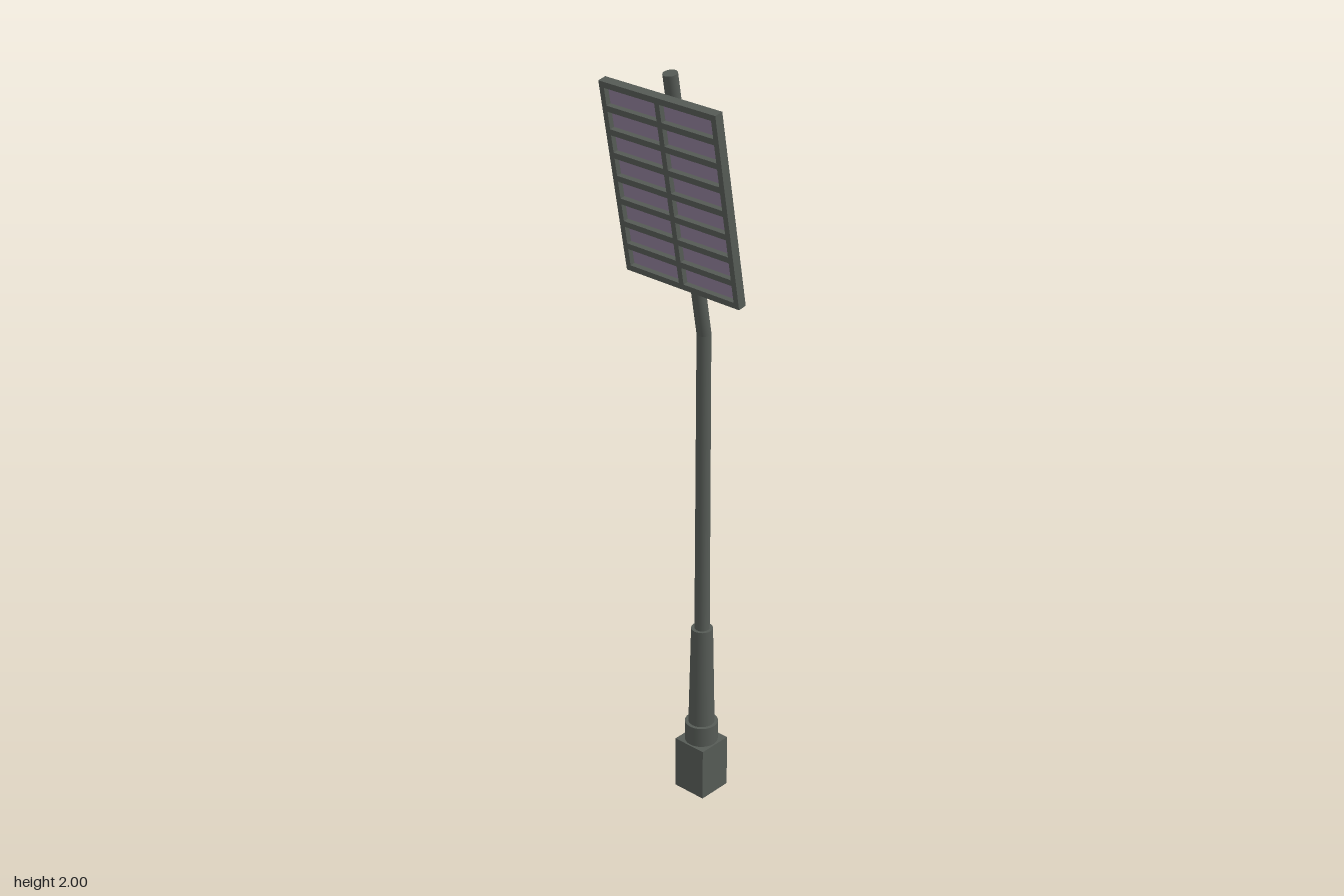
import * as THREE from 'three';

const metal = new THREE.MeshStandardMaterial({ color: 0x565b56 });
const lampGlass = new THREE.MeshStandardMaterial({ color: 0x8d7c96 });

function part(name, geometry, material = metal) {
  const mesh = new THREE.Mesh(geometry, material);
  mesh.name = name;
  return mesh;
}

// Tapered round bar between two points
function bar(name, from, to, r0, r1 = r0) {
  const dir = to.clone().sub(from);
  const mesh = part(name, new THREE.CylinderGeometry(r1, r0, dir.length(), 24));
  mesh.position.copy(from).addScaledVector(dir, 0.5);
  mesh.quaternion.setFromUnitVectors(new THREE.Vector3(0, 1, 0), dir.normalize());
  return mesh;
}

const at = (y, z = 0) => new THREE.Vector3(0, y, z);

// Square foot, its rear lower edge drawn down to a point
function makeFoot() {
  const g = new THREE.BoxGeometry(0.095, 0.145, 0.095, 2, 1, 2);
  const p = g.attributes.position;
  for (let i = 0; i < p.count; i++) {
    if (p.getY(i) < 0 && p.getZ(i) < -0.04 && Math.abs(p.getX(i)) < 0.01) p.setY(i, p.getY(i) - 0.02);
  }
  g.computeVertexNormals();
  const foot = part('foot', g);
  foot.position.y = 0.0925;
  return foot;
}

// Lamp panel: back plate, a frame with 2 x 8 openings, and recessed lamps
function makeLampPanel() {
  const W = 0.354, H = 0.5, T = 0.0235, plate = 0.008;
  const cols = 2, rows = 8, cellW = 0.155, cellH = 0.045;
  const gapX = (W - cols * cellW) / (cols + 1), gapY = (H - rows * cellH) / (rows + 1);
  const panel = new THREE.Group();
  panel.name = 'lampPanel';

  const back = part('backPlate', new THREE.BoxGeometry(W, H, plate));
  back.position.z = -T / 2 + plate / 2;
  panel.add(back);

  const rect = (path, x, y, w, h) => path.moveTo(x, y).lineTo(x + w, y).lineTo(x + w, y + h).lineTo(x, y + h).closePath();
  const frame = new THREE.Shape();
  rect(frame, -W / 2, -H / 2, W, H);
  for (let c = 0; c < cols; c++) {
    for (let r = 0; r < rows; r++) {
      const x = -W / 2 + gapX + c * (cellW + gapX);
      const y = -H / 2 + gapY + r * (cellH + gapY);
      const hole = new THREE.Path();
      rect(hole, x, y, cellW, cellH);
      frame.holes.push(hole);
      const lamp = part('lamp', new THREE.BoxGeometry(cellW, cellH, 0.002), lampGlass);
      lamp.position.set(x + cellW / 2, y + cellH / 2, -T / 2 + plate + 0.001);
      panel.add(lamp);
    }
  }
  const front = part('frame', new THREE.ExtrudeGeometry(frame, { depth: T - plate, bevelEnabled: false }));
  front.position.z = -T / 2 + plate;
  panel.add(front);

  // Mount joining the panel to the pole
  const mount = part('mount', new THREE.BoxGeometry(0.022, 0.06, 0.025));
  mount.position.z = -T / 2 - 0.012;
  panel.add(mount);

  panel.position.set(0, 1.7075, 0.111);
  panel.rotation.x = 0.178;
  return panel;
}

export function createModel() {
  const light = new THREE.Group();
  light.name = 'floodlight';
  const bend = part('poleBend', new THREE.SphereGeometry(0.0178, 24, 12));
  bend.position.y = 1.32;
  light.add(
    makeFoot(),
    bar('collar', at(0.165), at(0.22), 0.043),
    bar('sleeve', at(0.22), at(0.5), 0.034, 0.028),
    bar('pole', at(0.5), at(1.32), 0.0195, 0.0178),
    bend,
    bar('leaningPole', at(1.32), at(1.997, 0.119), 0.0178),
    makeLampPanel(),
  );
  // The lamp faces diagonally
  light.rotation.y = -Math.PI / 4;
  light.position.set(0.079, 0, -0.078);

  const model = new THREE.Group();
  model.add(light);
  return model;
}
